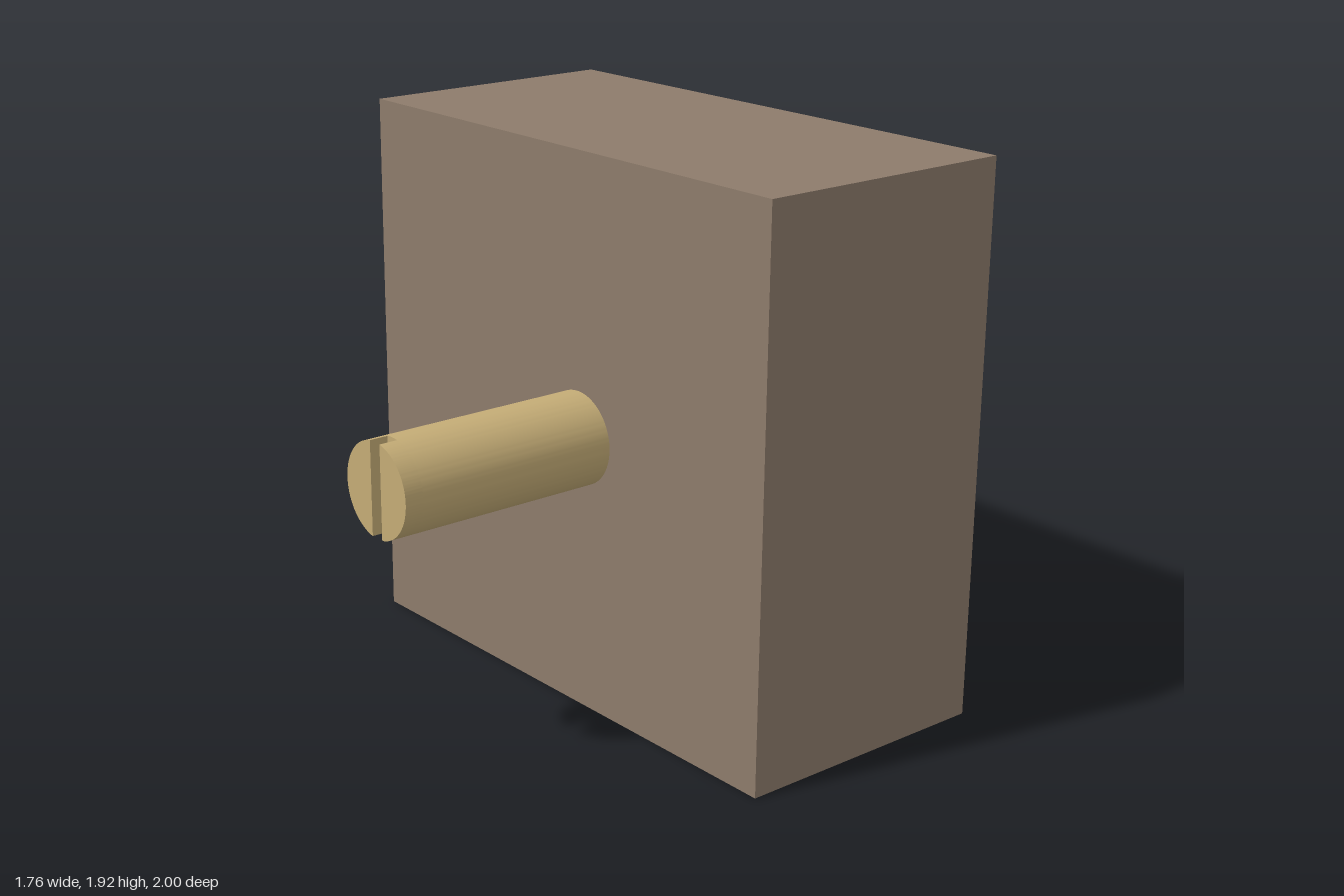
import * as THREE from 'three';
import { toCreasedNormals } from 'three/addons/utils/BufferGeometryUtils.js';

const RADIUS = 0.16;
const SLOT_HALF = 0.026;

// Extrude a profile (drawn in z, y) along -x
function extrudeLeft(shape, length) {
  const geometry = new THREE.ExtrudeGeometry(shape, { depth: length, bevelEnabled: false, curveSegments: 64 });
  geometry.rotateY(-Math.PI / 2);
  return toCreasedNormals(geometry, 0.5);
}

export function createModel() {
  const group = new THREE.Group();
  const housingMaterial = new THREE.MeshStandardMaterial({ color: 0x8d7b6b });
  housingMaterial.name = 'taupe';
  const shaftMaterial = new THREE.MeshStandardMaterial({ color: 0xc4ac76 });
  shaftMaterial.name = 'brass';

  // Square block
  const housing = new THREE.Mesh(new THREE.BoxGeometry(0.96, 1.92, 2), housingMaterial);
  housing.name = 'housing';
  housing.position.set(0.4, 0.96, 0);
  group.add(housing);

  // Shaft, set off centre on the block's side
  const shaft = new THREE.Group();
  shaft.name = 'shaft';
  shaft.position.set(-0.08, 0.96, 0.117);
  group.add(shaft);

  const circle = new THREE.Shape().absarc(0, 0, RADIUS, 0, Math.PI * 2, false);
  const body = new THREE.Mesh(extrudeLeft(circle, 0.735), shaftMaterial);
  body.name = 'shaftBody';
  shaft.add(body);

  // Two half-round prongs leave the screwdriver slot between them
  const angle = Math.acos(SLOT_HALF / RADIUS);
  for (const side of [0, 1]) {
    const turn = side * Math.PI;
    const segment = new THREE.Shape().absarc(0, 0, RADIUS, turn - angle, turn + angle, false);
    segment.closePath();
    const prong = new THREE.Mesh(extrudeLeft(segment, 0.065), shaftMaterial);
    prong.name = side ? 'backProng' : 'frontProng';
    prong.position.x = -0.735;
    shaft.add(prong);
  }
  return group;
}
